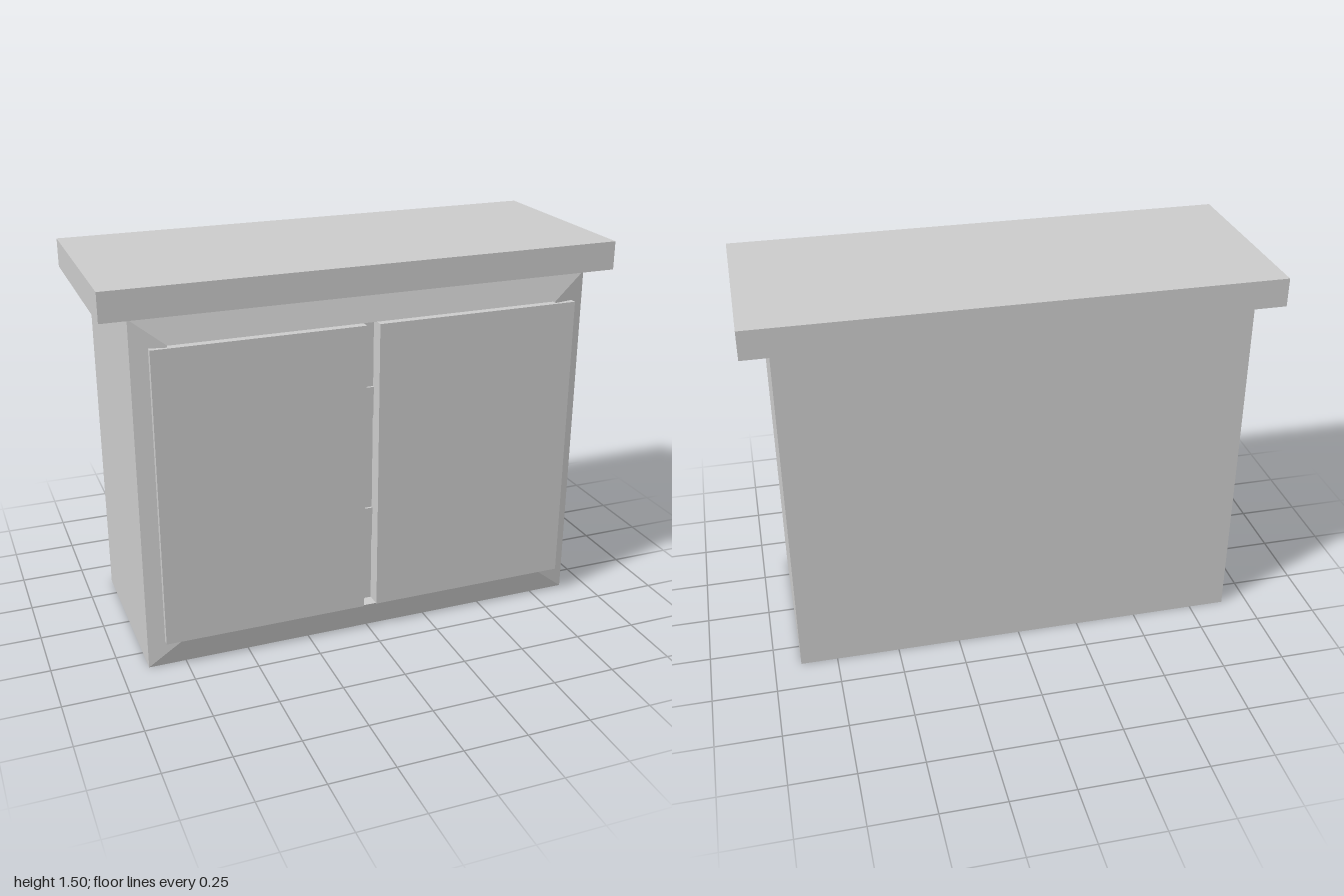
import * as THREE from 'three';

const material = new THREE.MeshStandardMaterial({ color: 0xcccccc, flatShading: true });

// Flat-faced solid through rectangular sections [x0, x1, y0, y1, z], listed from back to front
function loftRects(sections) {
  const rings = sections.map(([x0, x1, y0, y1, z]) => [[x0, y0, z], [x1, y0, z], [x1, y1, z], [x0, y1, z]]);
  const points = [];
  const quad = (a, b, c, d) => points.push(...a, ...b, ...c, ...a, ...c, ...d);
  const first = rings[0];
  const last = rings[rings.length - 1];
  quad(first[3], first[2], first[1], first[0]);
  quad(...last);
  for (let r = 0; r < rings.length - 1; r++) {
    for (let i = 0; i < 4; i++) {
      const j = (i + 1) % 4;
      quad(rings[r][i], rings[r][j], rings[r + 1][j], rings[r + 1][i]);
    }
  }
  const geometry = new THREE.BufferGeometry();
  geometry.setAttribute('position', new THREE.Float32BufferAttribute(points, 3));
  geometry.computeVertexNormals();
  return geometry;
}

export function createModel() {
  const group = new THREE.Group();
  const add = (name, geometry) => {
    const mesh = new THREE.Mesh(geometry, material);
    mesh.name = name;
    group.add(mesh);
  };
  const addBox = (name, x0, x1, y0, y1, z0, z1) => {
    const geometry = new THREE.BoxGeometry(x1 - x0, y1 - y0, z1 - z0);
    geometry.translate((x0 + x1) / 2, (y0 + y1) / 2, (z0 + z1) / 2);
    add(name, geometry);
  };

  // Cabinet body: bevelled front frame around a shallow recess
  add('cabinetBody', loftRects([
    [-0.895, 0.895, 0, 1.387, -0.36],
    [-0.895, 0.895, 0, 1.387, 0.36],
    [-0.765, 0.765, 0.105, 1.285, 0.386],
    [-0.765, 0.765, 0.105, 1.285, 0.333],
  ]));

  // Countertop with a slightly sloped underside
  const top = loftRects([
    [-0.895, 0.895, -0.36, 0.36, 1.386],
    [-1, 1, -0.405, 0.405, 1.394],
    [-1, 1, -0.405, 0.405, 1.505],
  ]);
  top.rotateX(-Math.PI / 2);
  add('countertop', top);

  // Doors set into the recess, overlapping the frame
  addBox('rightDoor', -0.83, -0.025, 0.108, 1.278, 0.335, 0.397);
  addBox('leftDoor', 0.028, 0.845, 0.108, 1.278, 0.335, 0.397);

  // Small catches in the gap between the doors
  for (const [y0, y1] of [[0.39, 0.51], [0.9, 1.015]]) {
    addBox('doorCatch', -0.025, 0.028, y0, y1, 0.33, 0.342);
  }
  return group;
}
